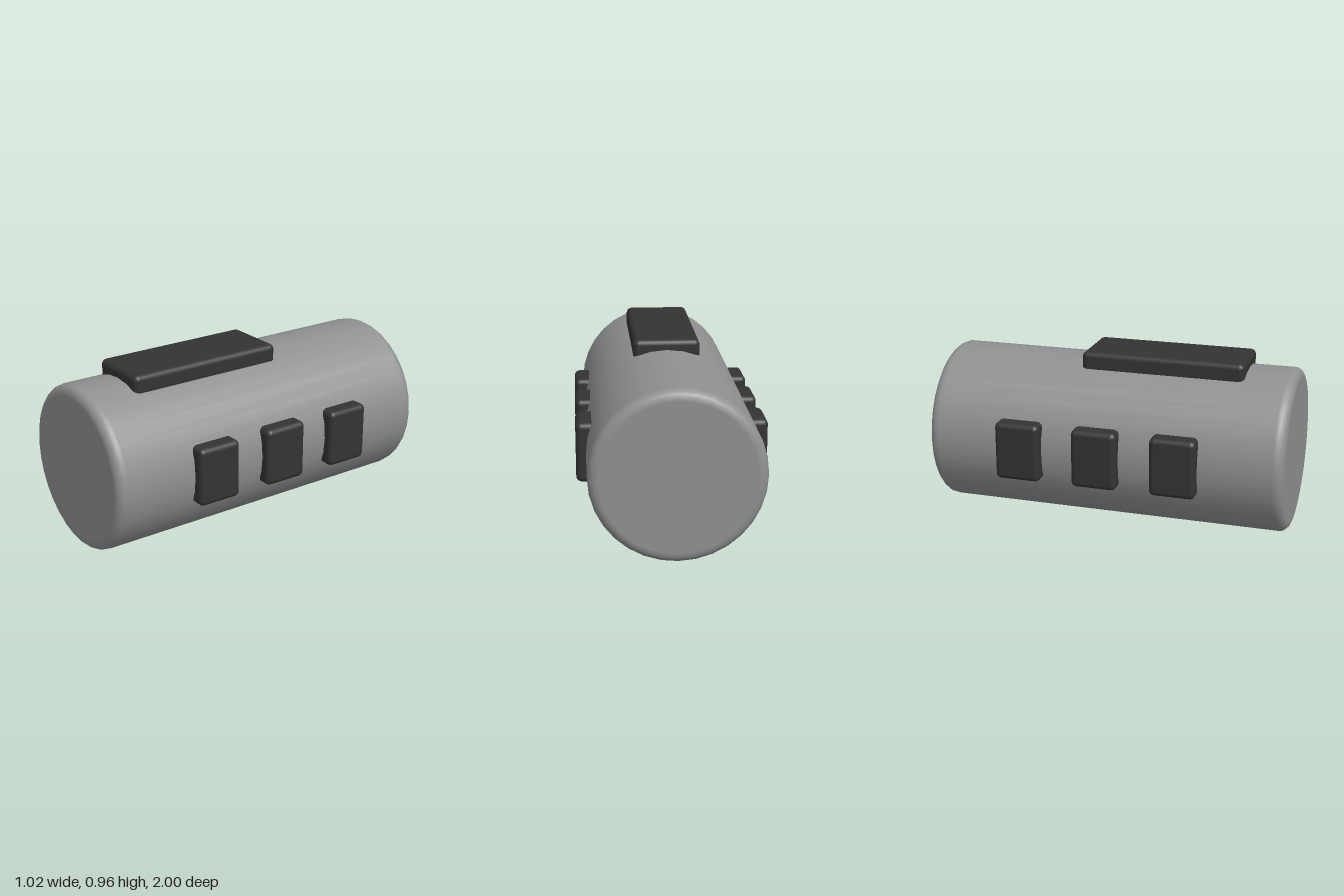
import * as THREE from 'three';
import { RoundedBoxGeometry } from 'three/addons/geometries/RoundedBoxGeometry.js';

export function createModel() {
  const model = new THREE.Group();
  model.name = 'paddedCylinder';

  const grey = new THREE.MeshStandardMaterial({ color: 0x8f9092 });
  grey.name = 'mid grey';
  const charcoal = new THREE.MeshStandardMaterial({ color: 0x333333 });
  charcoal.name = 'charcoal';

  // Body: a lying cylinder with rounded rims
  const radius = 0.455, half = 1, bevel = 0.05, steps = 5;
  const rim = [];
  for (let i = 0; i <= steps; i++) {
    const a = (i / steps) * Math.PI / 2;
    rim.push(new THREE.Vector2(
      radius - bevel + bevel * Math.sin(a),
      -half + bevel - bevel * Math.cos(a)));
  }
  // Extra points beside each rim keep the caps and the wall evenly shaded
  const lower = [
    new THREE.Vector2(0, -half),
    new THREE.Vector2(radius - bevel - 0.004, -half),
    ...rim,
    new THREE.Vector2(radius, -half + bevel + 0.004),
  ];
  const upper = lower.map(p => new THREE.Vector2(p.x, -p.y)).reverse();
  const bodyGeometry = new THREE.LatheGeometry([...lower, ...upper], 32);
  bodyGeometry.rotateX(Math.PI / 2);
  const body = new THREE.Mesh(bodyGeometry, grey);
  body.name = 'body';
  body.position.y = radius;
  model.add(body);

  // Rounded pads sunk into the body
  function addPad(name, size, position) {
    const pad = new THREE.Mesh(new RoundedBoxGeometry(...size, 3, 0.03), charcoal);
    pad.name = name;
    pad.position.set(...position);
    model.add(pad);
  }

  addPad('topPad', [0.364, 0.15, 0.908], [0, 0.89, 0.272]);

  // Three pads on each side
  for (const [side, sign] of [['left', 1], ['right', -1]]) {
    [['Front', 0.418], ['Middle', -0.018], ['Rear', -0.455]].forEach(([place, z]) =>
      addPad(`${side}${place}Pad`, [0.15, 0.326, 0.253], [sign * 0.433, 0.458, z]));
  }

  return model;
}
